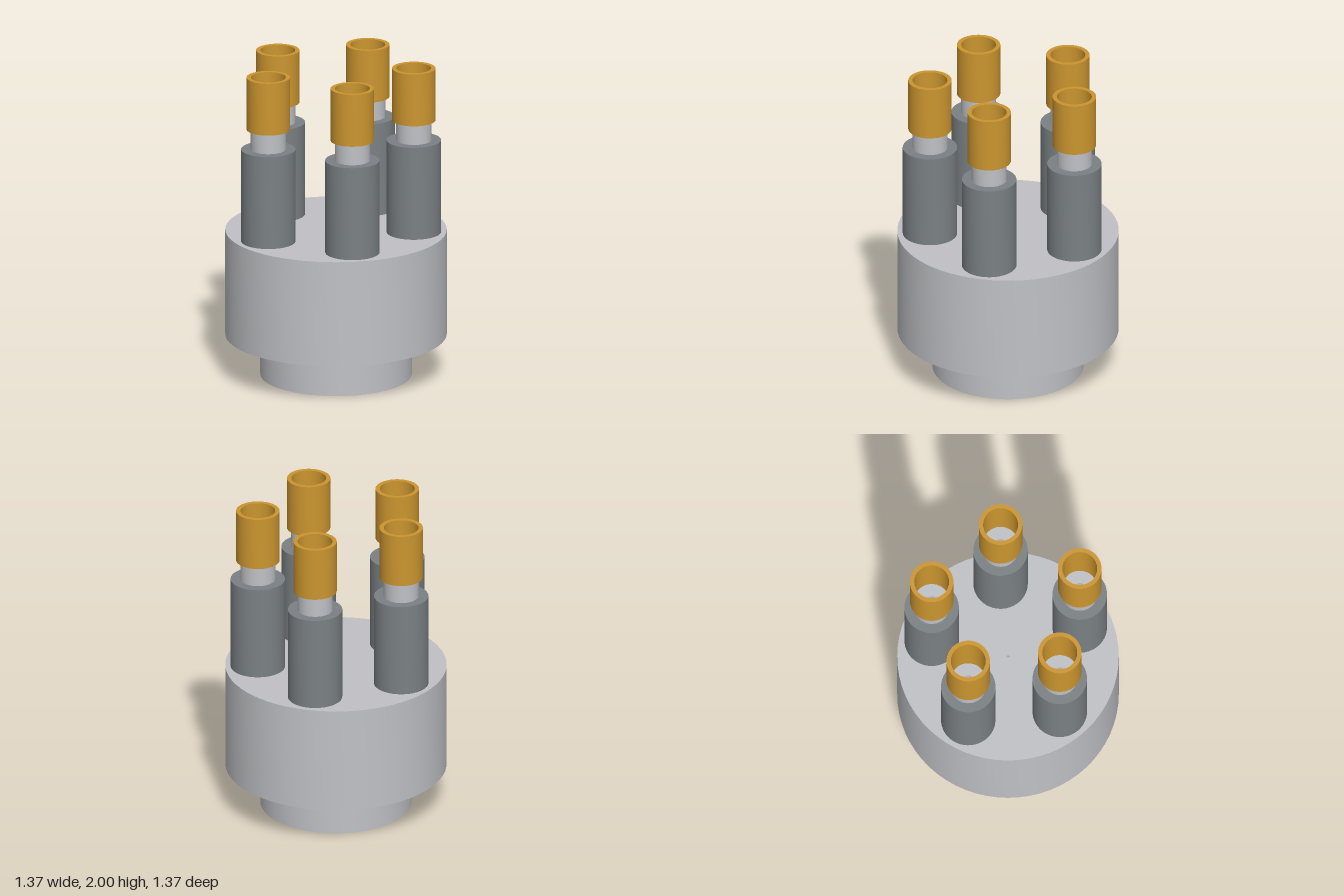
import * as THREE from 'three';
import { toCreasedNormals } from 'three/addons/utils/BufferGeometryUtils.js';

function material(name, color) {
  const m = new THREE.MeshStandardMaterial({ color });
  m.name = name;
  return m;
}

// Closed ring profile (inner radius, outer radius, bottom, top) spun around y
function ring(inner, outer, bottom, top, segments) {
  const profile = [
    [inner, bottom], [outer, bottom], [outer, top], [inner, top], [inner, bottom],
  ].map(([r, y]) => new THREE.Vector2(r, y));
  return toCreasedNormals(new THREE.LatheGeometry(profile, segments), 0.6);
}

export function createModel() {
  const lightMetal = material('light metal', 0xc0c1c5);
  const darkGrey = material('dark grey', 0x7a8083);
  const gold = material('gold', 0xcb952f);

  const model = new THREE.Group();
  model.name = 'fivePinConnector';

  const add = (parent, name, geometry, mat) => {
    const mesh = new THREE.Mesh(geometry, mat);
    mesh.name = name;
    parent.add(mesh);
  };

  // Stepped round housing with a pin-sized centre bore
  add(model, 'basePlug', ring(0.008, 0.47, 0, 0.26, 64), lightMetal);
  add(model, 'housing', ring(0.008, 0.687, 0.26, 0.937, 64), lightMetal);

  // Five contacts evenly spaced on a circle
  const sleeve = ring(0.008, 0.169, 0.937, 1.534, 48);
  const stem = ring(0.028, 0.109, 1.534, 1.663, 48);
  const socket = ring(0.108, 0.135, 1.663, 2, 48);
  const count = 5, spread = 0.485;
  for (let i = 0; i < count; i++) {
    const angle = (i / count) * Math.PI * 2;
    const contact = new THREE.Group();
    contact.name = `contact${i + 1}`;
    contact.position.set(spread * Math.cos(angle), 0, spread * Math.sin(angle));
    add(contact, 'sleeve', sleeve, darkGrey);
    add(contact, 'stem', stem, lightMetal);
    add(contact, 'socket', socket, gold);
    model.add(contact);
  }
  return model;
}
